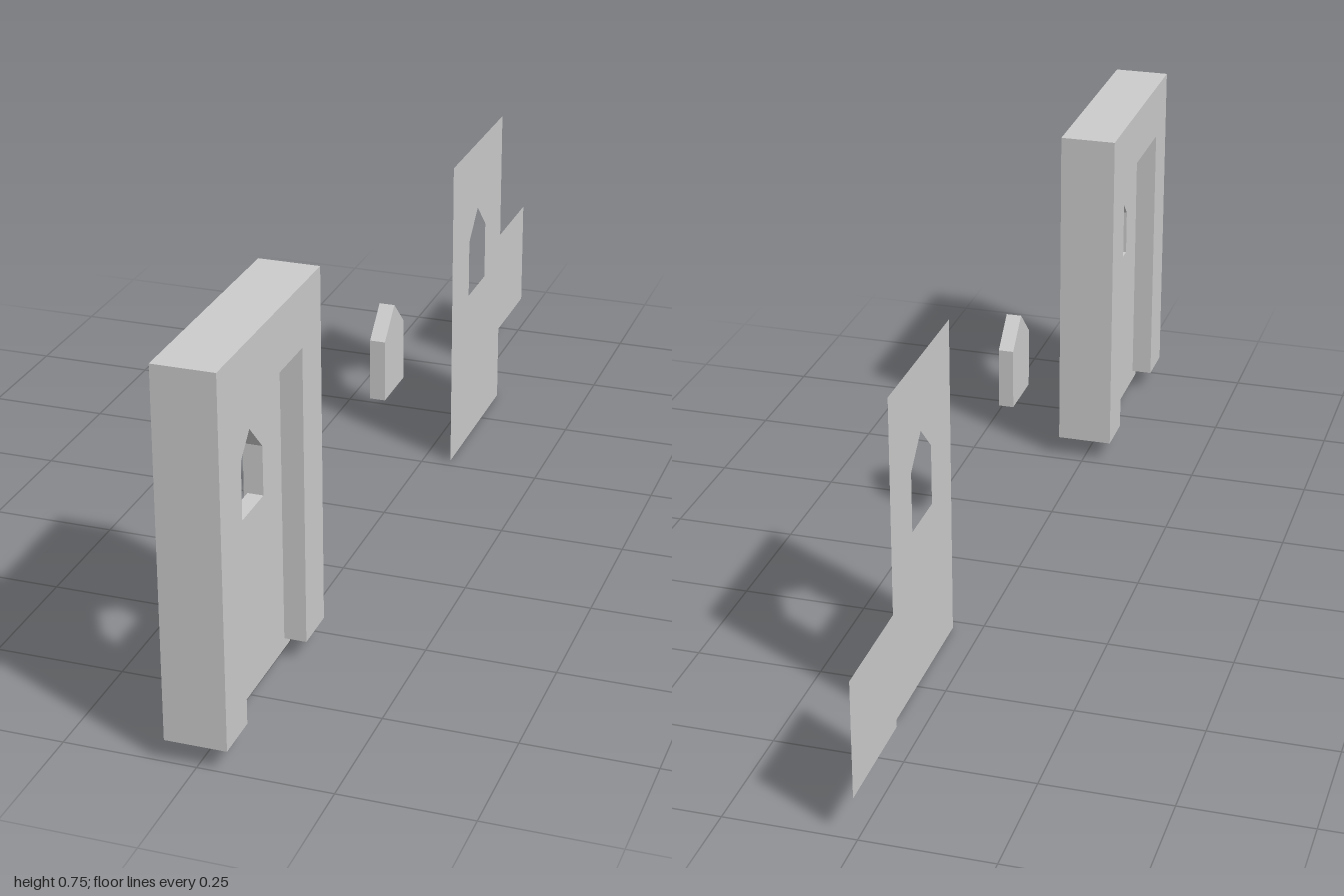
import * as THREE from 'three';

const grey = new THREE.MeshStandardMaterial({ color: 0xcccccc, flatShading: true });
const sheetGrey = new THREE.MeshStandardMaterial({ color: 0xcccccc, flatShading: true, side: THREE.DoubleSide });

const points = (list) => list.map(([u, v]) => new THREE.Vector2(u, v));

// Rectangle centred across its width, from y0 to y1
const rect = (w, y0, y1) =>
  new THREE.Shape(points([[-w / 2, y0], [w / 2, y0], [w / 2, y1], [-w / 2, y1]]));

// House-shaped window outline: straight sides with a pointed top
const gable = (w, y0, shoulder, peak) =>
  new THREE.Shape(points([[-w / 2, y0], [w / 2, y0], [w / 2, shoulder], [0, peak], [-w / 2, shoulder]]));

// Outline standing in the z-y plane, given thickness from x0 to x1
function slab(name, shape, x0, x1, z) {
  const geo = new THREE.ExtrudeGeometry(shape, { depth: x1 - x0, bevelEnabled: false });
  geo.rotateY(Math.PI / 2);
  const mesh = new THREE.Mesh(geo, grey);
  mesh.name = name;
  mesh.position.set(x0, 0, z);
  return mesh;
}

// Flat outline without thickness in the z-y plane
function sheet(name, shape, x, z) {
  const geo = new THREE.ShapeGeometry(shape);
  geo.rotateY(Math.PI / 2);
  const mesh = new THREE.Mesh(geo, sheetGrey);
  mesh.name = name;
  mesh.position.set(x, 0, z);
  return mesh;
}

export function createModel() {
  const model = new THREE.Group();
  model.name = 'doorSet';
  const doorZ = 0.759;

  // Frame: two jambs and a lintel, open at the bottom
  const frame = new THREE.Shape(points([
    [-0.241, 0.043], [-0.147, 0.043], [-0.147, 0.629], [0.147, 0.629],
    [0.147, 0.043], [0.241, 0.043], [0.241, 0.746], [-0.241, 0.746],
  ]));
  model.add(slab('doorFrame', frame, -0.059, 0.057, doorZ));

  // Door leaf, its edges let into the frame, with a pointed window
  const leaf = rect(0.353, 0.022, 0.68);
  leaf.holes.push(gable(0.117, 0.378, 0.474, 0.533));
  model.add(slab('doorLeaf', leaf, -0.016, 0.014, doorZ));

  // Loose window pane
  model.add(slab('windowPane', gable(0.114, 0.334, 0.456, 0.511), 0.028, 0.058, 0.11));

  // Thin door panel with a matching window opening
  const panel = rect(0.353, 0, 0.66);
  panel.holes.push(gable(0.117, 0.334, 0.456, 0.513));
  model.add(sheet('doorPanel', panel, 0.057, -0.45));

  // Small thin square panel
  model.add(sheet('squarePanel', rect(0.233, 0.083, 0.315), 0.006, -0.8825));

  return model;
}
